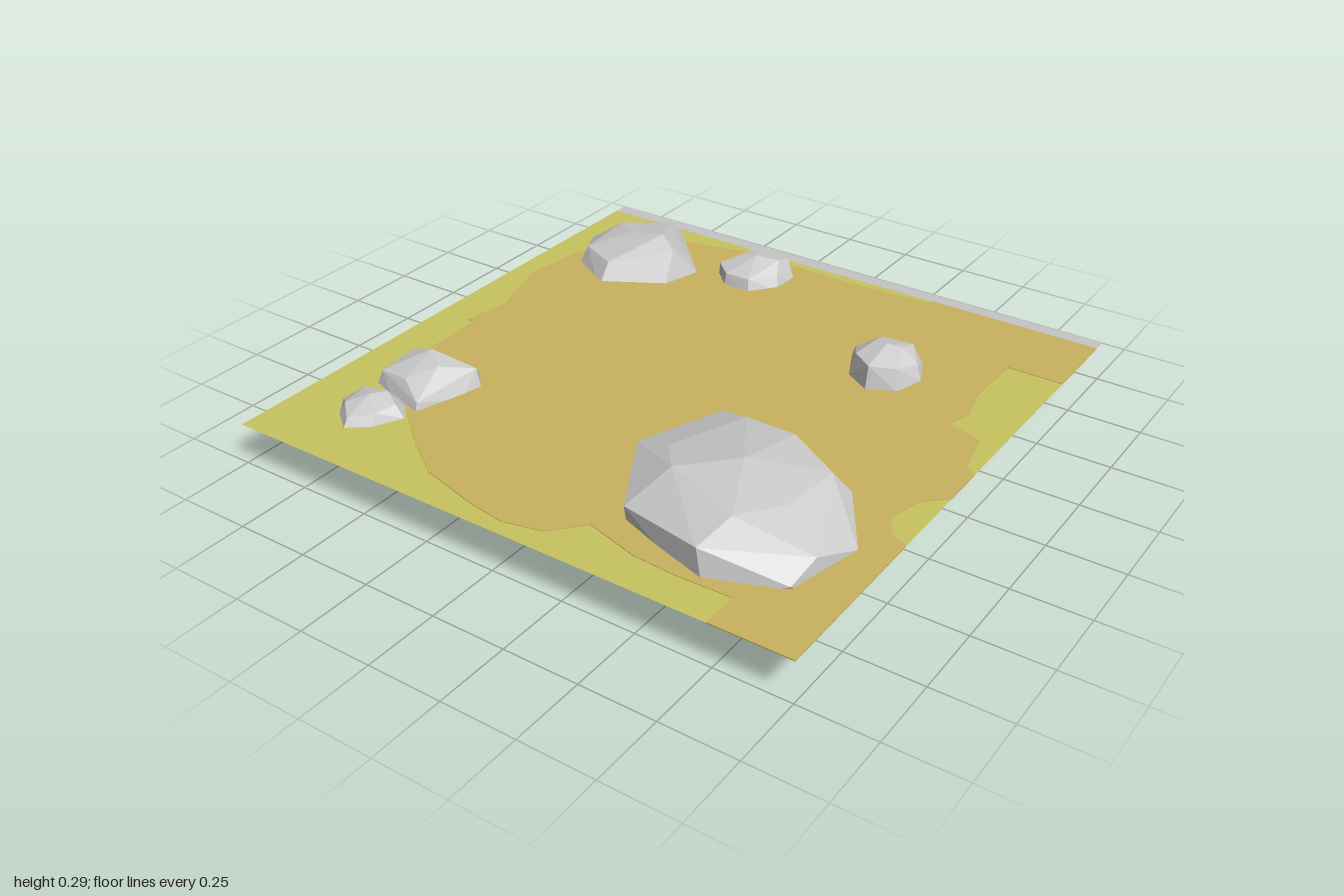
import * as THREE from 'three';
import { ConvexGeometry } from 'three/addons/geometries/ConvexGeometry.js';

const GROUND = 0.14;

function material(name, color, options = {}) {
  const m = new THREE.MeshStandardMaterial({ color, ...options });
  m.name = name;
  return m;
}

// Faceted boulder: the hull around a few corner points [x, y, z]
function rock(name, corners, mat) {
  const mesh = new THREE.Mesh(new ConvexGeometry(corners.map(p => new THREE.Vector3(...p))), mat);
  mesh.name = name;
  return mesh;
}

// Flat rectangle of ground between two z values
function groundSheet(name, z0, z1, mat) {
  const g = new THREE.PlaneGeometry(2, z1 - z0).rotateX(-Math.PI / 2);
  g.translate(0, GROUND, (z0 + z1) / 2);
  const mesh = new THREE.Mesh(g, mat);
  mesh.name = name;
  return mesh;
}

export function createModel() {
  const model = new THREE.Group();
  model.name = 'rockyGround';
  const stone = material('stone', 0xcccccc, { flatShading: true });
  const grass = material('grass', 0xc8c460, { side: THREE.DoubleSide });
  const sand = material('sand', 0xc9b25f);
  const edge = material('edgeGrey', 0xc5c5c9, { side: THREE.DoubleSide });

  // Ground: grass sheet with a grey strip along the back
  model.add(groundSheet('grassGround', -0.95, 1, grass));
  model.add(groundSheet('backStrip', -1, -0.95, edge));

  // Sand patch, a thin plate visible from above and below; outline as [x, z]
  const outline = [
    [0.39, -0.95], [1, -0.95], [1, -0.665], [0.81, -0.665], [0.805, -0.45], [0.835, -0.32],
    [0.81, -0.24], [0.93, -0.2], [0.96, -0.05], [1, -0.02], [1, 0.13], [0.93, 0.2],
    [0.9, 0.31], [0.94, 0.38], [1, 0.41], [1, 1], [0.73, 1], [0.73, 0.875],
    [0.55, 0.88], [0.4, 0.87], [0.22, 0.82], [0.13, 0.92], [0.0, 0.95], [-0.13, 0.93],
    [-0.34, 0.875], [-0.48, 0.78], [-0.64, 0.65], [-0.82, 0.56], [-0.85, 0.35], [-0.85, 0.08],
    [-0.88, 0.08], [-0.85, -0.08], [-0.93, -0.35], [-0.91, -0.43], [-0.9, -0.55], [-0.8, -0.7],
    [-0.6, -0.87], [-0.37, -0.92], [0.08, -0.91], [0.39, -0.93],
  ];
  const patch = new THREE.ExtrudeGeometry(
    new THREE.Shape(outline.map(p => new THREE.Vector2(...p))), { depth: 0.004, bevelEnabled: false });
  patch.rotateX(Math.PI / 2).translate(0, GROUND + 0.002, 0);
  const sandPatch = new THREE.Mesh(patch, sand);
  sandPatch.name = 'sandPatch';
  model.add(sandPatch);

  // Large boulder, reaching well below the ground
  model.add(rock('largeBoulder', [
    [0.107, 0.18, 0.44], [0.285, 0.19, 0.75], [0.59, 0.225, 0.84], [0.63, 0.07, 0.86],
    [0.84, 0.15, 0.76], [0.9, 0.14, 0.5], [0.765, 0.17, 0.3], [0.48, 0.17, 0.16], [0.21, 0.17, 0.13],
    [0.11, 0.03, 0.44], [0.29, 0.03, 0.73], [0.875, 0.03, 0.62], [0.72, 0.04, 0.3],
    [0.25, 0.04, 0.25], [0.42, 0, 0.57],
    [0.246, 0.235, 0.475], [0.51, 0.287, 0.475], [0.345, 0.265, 0.6], [0.34, 0.225, 0.2],
    [0.535, 0.25, 0.235], [0.725, 0.245, 0.345], [0.86, 0.195, 0.66], [0.71, 0.255, 0.57],
    [0.62, 0.265, 0.71],
  ], stone));

  // Back left boulder
  model.add(rock('backLeftBoulder', [
    [-0.68, 0.13, -0.945], [-0.43, 0.145, -0.67], [-0.47, 0.125, -0.52], [-0.675, 0.12, -0.4],
    [-0.84, 0.13, -0.5], [-0.915, 0.15, -0.68], [-0.83, 0.17, -0.85],
    [-0.675, 0.2, -0.46], [-0.82, 0.2, -0.53], [-0.485, 0.24, -0.6], [-0.55, 0.28, -0.63],
    [-0.69, 0.253, -0.63], [-0.805, 0.225, -0.72], [-0.66, 0.22, -0.83], [-0.6, 0.115, -0.6],
  ], stone));

  // Small rock at the back
  model.add(rock('backRock', [
    [-0.28, 0.14, -0.89], [-0.17, 0.14, -0.89], [-0.11, 0.13, -0.83], [-0.12, 0.13, -0.73],
    [-0.19, 0.12, -0.64], [-0.295, 0.12, -0.645], [-0.36, 0.12, -0.71], [-0.355, 0.13, -0.79],
    [-0.36, 0.18, -0.72], [-0.295, 0.18, -0.66], [-0.2, 0.18, -0.66], [-0.135, 0.18, -0.75],
    [-0.28, 0.2, -0.87], [-0.16, 0.195, -0.865],
    [-0.24, 0.222, -0.77], [-0.16, 0.213, -0.8], [-0.3, 0.21, -0.78],
  ], stone));

  // Small rock on the right half of the ground
  model.add(rock('sideRock', [
    [0.42, 0.14, -0.52], [0.49, 0.15, -0.54], [0.58, 0.15, -0.505], [0.62, 0.15, -0.41],
    [0.58, 0.14, -0.32], [0.49, 0.14, -0.275], [0.4, 0.14, -0.33], [0.355, 0.15, -0.43],
    [0.365, 0.19, -0.43], [0.41, 0.215, -0.35], [0.49, 0.22, -0.29], [0.57, 0.21, -0.34],
    [0.6, 0.2, -0.42], [0.43, 0.22, -0.49], [0.54, 0.22, -0.5],
    [0.49, 0.247, -0.41], [0.44, 0.238, -0.42], [0.54, 0.238, -0.43],
  ], stone));

  // Pair of rocks at the front
  model.add(rock('frontRock', [
    [-0.73, 0.14, 0.335], [-0.6, 0.14, 0.34], [-0.54, 0.14, 0.405], [-0.55, 0.13, 0.48],
    [-0.605, 0.12, 0.65], [-0.72, 0.12, 0.62], [-0.835, 0.13, 0.575], [-0.835, 0.14, 0.405],
    [-0.82, 0.195, 0.41], [-0.82, 0.185, 0.56], [-0.72, 0.235, 0.43], [-0.64, 0.222, 0.49],
    [-0.56, 0.2, 0.4], [-0.7, 0.2, 0.58], [-0.61, 0.165, 0.63],
  ], stone));
  model.add(rock('frontSmallRock', [
    [-0.82, 0.13, 0.62], [-0.7, 0.13, 0.6], [-0.65, 0.14, 0.635], [-0.61, 0.14, 0.69],
    [-0.655, 0.12, 0.795], [-0.725, 0.12, 0.85], [-0.8, 0.12, 0.795], [-0.855, 0.14, 0.705],
    [-0.8, 0.18, 0.66], [-0.79, 0.175, 0.76], [-0.725, 0.165, 0.82], [-0.66, 0.175, 0.76],
    [-0.64, 0.18, 0.69], [-0.73, 0.2, 0.71], [-0.7, 0.195, 0.66],
  ], stone));

  return model;
}
